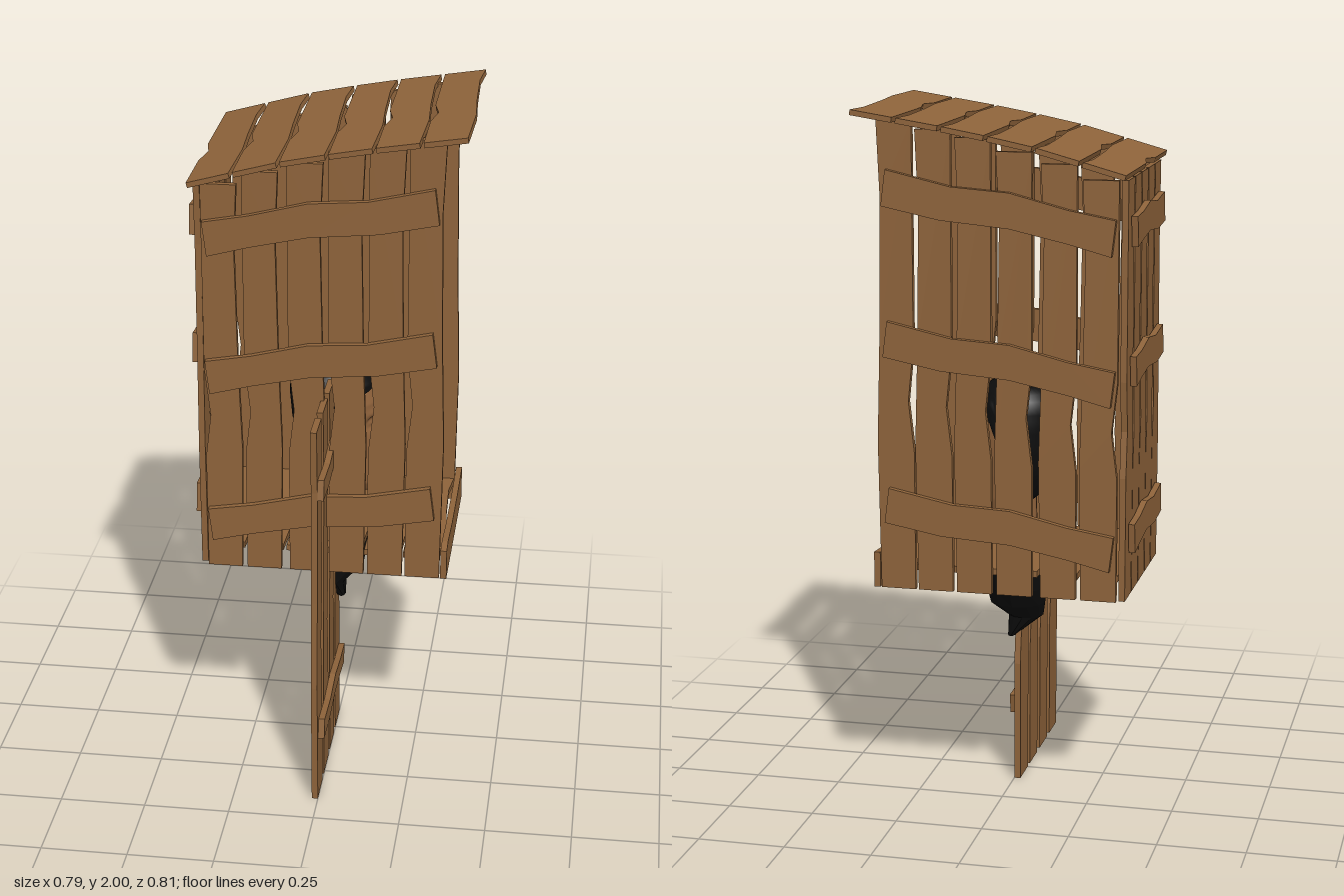
import * as THREE from 'three';
import { mergeVertices } from 'three/addons/utils/BufferGeometryUtils.js';

const wood = new THREE.MeshStandardMaterial({ color: 0x8f643b });
wood.name = 'wood';
const skin = new THREE.MeshStandardMaterial({ color: 0x93653d });
skin.name = 'skin';
const black = new THREE.MeshStandardMaterial({ color: 0x0c0c0c, side: THREE.DoubleSide });
black.name = 'black';

const T = 0.018; // board thickness

// Board cut from an outline of [u, v] points
function board(points, depth = T) {
  const shape = new THREE.Shape(points.map(([u, v]) => new THREE.Vector2(u, v)));
  return new THREE.ExtrudeGeometry(shape, { depth, bevelEnabled: false });
}

// Crooked plank: wavy right edge, small notch in the left edge; v0 is the starting end
function plank(u0, u1, v0, v1, depth = T, wave = 1) {
  const v = t => v0 + (v1 - v0) * t;
  return board([
    [u1, v(0)], [u1 - 0.009 * wave, v(0.16)], [u1 - 0.003 * wave, v(0.45)], [u1 + 0.006 * wave, v(0.68)], [u1, v(1)],
    [u0, v(1)], [u0, v(0.7)], [u0 + 0.016 * wave, v(0.59)], [u0, v(0.47)], [u0, v(0)],
  ], depth);
}

// Crooked batten rising from left to right
function batten(u0, u1, y0, y1, h) {
  const p = (t, dy) => [u0 + (u1 - u0) * t, y0 + (y1 - y0) * t + dy];
  const n = h / 2;
  return board([
    [u0 + 0.012, y0 - n], p(0.2, 0.008 - n), p(0.45, 0.014 - n), p(0.75, -n - 0.004), [u1, y1 - n],
    [u1 - 0.013, y1 + n], p(0.7, n - 0.006), p(0.45, n + 0.012), p(0.2, n), [u0, y0 + n],
  ]);
}

function add(group, name, geometry, material = wood) {
  const mesh = new THREE.Mesh(geometry, material);
  mesh.name = name;
  group.add(mesh);
  return mesh;
}

// Closed-ring surface: f(angle, t) gives a point, angle 0 faces +x, t rises
function loft(f, sides, rows) {
  const pos = [], idx = [];
  for (let i = 0; i <= rows; i++) {
    for (let j = 0; j < sides; j++) pos.push(...f(-Math.PI + (j / sides) * Math.PI * 2, i / rows));
  }
  for (let i = 0; i < rows; i++) {
    for (let j = 0; j < sides; j++) {
      const a = i * sides + j, b = i * sides + ((j + 1) % sides);
      idx.push(a, b, a + sides, b, b + sides, a + sides);
    }
  }
  let g = new THREE.BufferGeometry();
  g.setAttribute('position', new THREE.Float32BufferAttribute(pos, 3));
  g.setIndex(idx);
  g = mergeVertices(g, 1e-5);
  g.computeVertexNormals();
  return g;
}

// Head sections: height, half width, front x, back x
const HEAD = [
  [0.788, 0.022, 0.098, 0.05], [0.80, 0.05, 0.112, 0.03], [0.83, 0.076, 0.118, -0.01], [0.88, 0.097, 0.116, -0.07],
  [0.95, 0.113, 0.117, -0.115], [1.02, 0.122, 0.116, -0.132], [1.09, 0.127, 0.122, -0.138],
  [1.15, 0.122, 0.108, -0.135], [1.19, 0.092, 0.075, -0.105], [1.208, 0.055, 0.04, -0.06], [1.214, 0.002, 0, -0.004],
];
const HZ = -0.1;

function headSection(y) {
  let i = 0;
  while (i < HEAD.length - 2 && HEAD[i + 1][0] < y) i++;
  const k = THREE.MathUtils.clamp((y - HEAD[i][0]) / (HEAD[i + 1][0] - HEAD[i][0]), 0, 1);
  return HEAD[i].map((v, c) => v + (HEAD[i + 1][c] - v) * k);
}

function headPoint(a, y, grow) {
  const [, w, f, b] = headSection(y);
  const mid = (f + b) / 2, rx = (f - b) / 2 + grow, rz = w + grow;
  return [mid + Math.cos(a) * rx, y, HZ - Math.sin(a) * rz];
}

const bump = (d, s) => Math.exp(-(d * d) / (s * s));

function facePoint(a, t) {
  const y = 0.788 + 0.426 * t;
  const p = headPoint(a, y, 0);
  if (Math.cos(a) > 0) {
    const z = Math.abs(p[2] - HZ);
    const noseHeight = y < 0.945 ? bump(y - 0.945, 0.014) : Math.max(0, 1 - (y - 0.945) / 0.105);
    p[0] += 0.04 * noseHeight * bump(z, 0.015 + 0.01 * noseHeight);        // nose
    p[0] -= 0.018 * bump(y - 1.022, 0.022) * bump(z - 0.048, 0.026);      // eye sockets
    p[0] += 0.010 * bump(y - 1.02, 0.01) * bump(z - 0.048, 0.016);        // eyeballs
    p[0] += 0.008 * bump(y - 1.055, 0.014) * bump(z - 0.045, 0.035);      // brows
    p[0] += 0.009 * (bump(y - 0.895, 0.008) + bump(y - 0.876, 0.009)) * bump(z, 0.03); // lips
    p[0] -= 0.006 * bump(y - 0.855, 0.01) * bump(z, 0.035);               // chin crease
  }
  return p;
}

// Hairline drops from the forehead past the ears to the nape
function hairPoint(a, t) {
  const s = Math.abs(a) / Math.PI;
  const low = s < 0.34 ? 1.155 - 0.1 * s : 1.121 - 0.26 * THREE.MathUtils.smoothstep(s, 0.34, 0.62);
  const p = headPoint(a, low + (1.214 - low) * t, 0.009);
  if (t === 1) return [0, 1.226, HZ];
  p[1] += 0.01 * t;
  return p;
}

// Collar sections: height, centre x, centre z, half x, half z
const COLLAR = [
  [0.44, 0.012, -0.068, 0.012, 0.026], [0.50, -0.025, -0.05, 0.052, 0.05], [0.545, -0.005, -0.072, 0.082, 0.075],
  [0.60, -0.005, -0.09, 0.09, 0.09], [0.65, -0.007, -0.092, 0.095, 0.092], [0.70, -0.007, -0.092, 0.095, 0.092],
];

export function createModel() {
  const model = new THREE.Group();
  model.name = 'woodenBooth';

  // Front and back walls with three battens each
  const starts = [-0.35, -0.235, -0.11, 0.005, 0.117, 0.226];
  const tops = [1.82, 1.86, 1.89, 1.925, 1.945, 1.97];
  for (const [name, z, outer] of [['frontWall', 0.165, 0.183], ['backWall', -0.353, -0.371]]) {
    const wall = new THREE.Group();
    wall.name = name;
    starts.forEach((x, i) => add(wall, 'wallPlank', plank(x, x + 0.1, tops[i], 0.645)).position.z = z);
    for (const [y0, y1] of [[1.665, 1.785], [1.25, 1.365], [0.785, 0.89]]) {
      add(wall, 'wallBatten', batten(-0.345, 0.31, y0, y1, 0.1)).position.z = outer;
    }
    model.add(wall);
  }

  // Closed side wall, outlines drawn in z and y
  const side = new THREE.Group();
  side.name = 'sideWall';
  for (let i = 0; i < 5; i++) {
    const z = -0.338 + i * 0.102;
    add(side, 'sidePlank', plank(z, z + 0.094, 1.82, 0.645).rotateY(-Math.PI / 2)).position.x = -0.355;
  }
  for (const y of [1.685, 1.3, 0.825]) {
    add(side, 'sideBatten', batten(-0.305, 0.13, y - 0.008, y + 0.008, 0.085).rotateY(-Math.PI / 2)).position.x = -0.375;
  }
  model.add(side);

  // Floor planks and the sill across the open side
  const floor = new THREE.Group();
  floor.name = 'floor';
  for (let i = 0; i < 6; i++) {
    const x = -0.35 + i * 0.114;
    add(floor, 'floorPlank', plank(x, x + 0.105, -0.335, 0.165).rotateX(Math.PI / 2)).position.y = 0.715;
  }
  const sill = board([[-0.352, 0.645], [0.184, 0.645], [0.184, 0.735], [0.14, 0.745], [0, 0.733], [-0.2, 0.735], [-0.352, 0.747]]);
  add(floor, 'sill', sill.rotateY(-Math.PI / 2)).position.x = 0.348;
  model.add(floor);

  // Curved roof made of tilted planks
  const roof = new THREE.Group();
  roof.name = 'roof';
  const edges = [[-0.377, 1.84], [-0.25, 1.875], [-0.121, 1.91], [0.012, 1.937], [0.14, 1.96], [0.267, 1.98], [0.395, 2.0]];
  for (let i = 0; i < 6; i++) {
    const [x0, y0] = edges[i], [x1, y1] = edges[i + 1];
    const p = add(roof, 'roofPlank', plank(0, Math.hypot(x1 - x0, y1 - y0) - 0.011, -0.4, 0.24, 0.015).rotateX(Math.PI / 2));
    p.position.set(x0, y0, 0);
    p.rotation.z = Math.atan2(y1 - y0, x1 - x0);
  }
  model.add(roof);

  // Door of four planks and two battens
  const door = new THREE.Group();
  door.name = 'door';
  for (const z of [0.3, 0.165, 0.03, -0.097]) {
    add(door, 'doorPlank', plank(z, z + 0.1, 1.19, 0, T, 1.3).rotateY(-Math.PI / 2));
  }
  for (const y of [0.23, 1.005]) {
    add(door, 'doorBatten', batten(-0.08, 0.39, y - 0.006, y + 0.002, 0.058).rotateY(-Math.PI / 2)).position.x = 0.018;
  }
  model.add(door);

  // Head looking out of the open side
  const figure = new THREE.Group();
  figure.name = 'figure';
  add(figure, 'face', loft(facePoint, 96, 90), skin);
  add(figure, 'hair', loft(hairPoint, 48, 20), black);
  for (const s of [-1, 1]) {
    const ear = add(figure, 'ear', new THREE.SphereGeometry(1, 14, 10), skin);
    ear.scale.set(0.022, 0.042, 0.012);
    ear.position.set(-0.015, 1.0, HZ + s * 0.124);
    ear.rotation.y = s * 0.3;
  }
  const neck = add(figure, 'neck', new THREE.CylinderGeometry(0.055, 0.065, 0.24, 24), skin);
  neck.position.set(-0.005, 0.77, -0.08);
  const collar = loft((a, t) => {
    const [y, x, z, rx, rz] = COLLAR[Math.round(t * 5)];
    return [x + Math.cos(a) * rx, y, z - Math.sin(a) * rz];
  }, 12, 5).toNonIndexed();
  collar.computeVertexNormals();
  add(figure, 'collar', collar, black);
  model.add(figure);

  return model;
}
